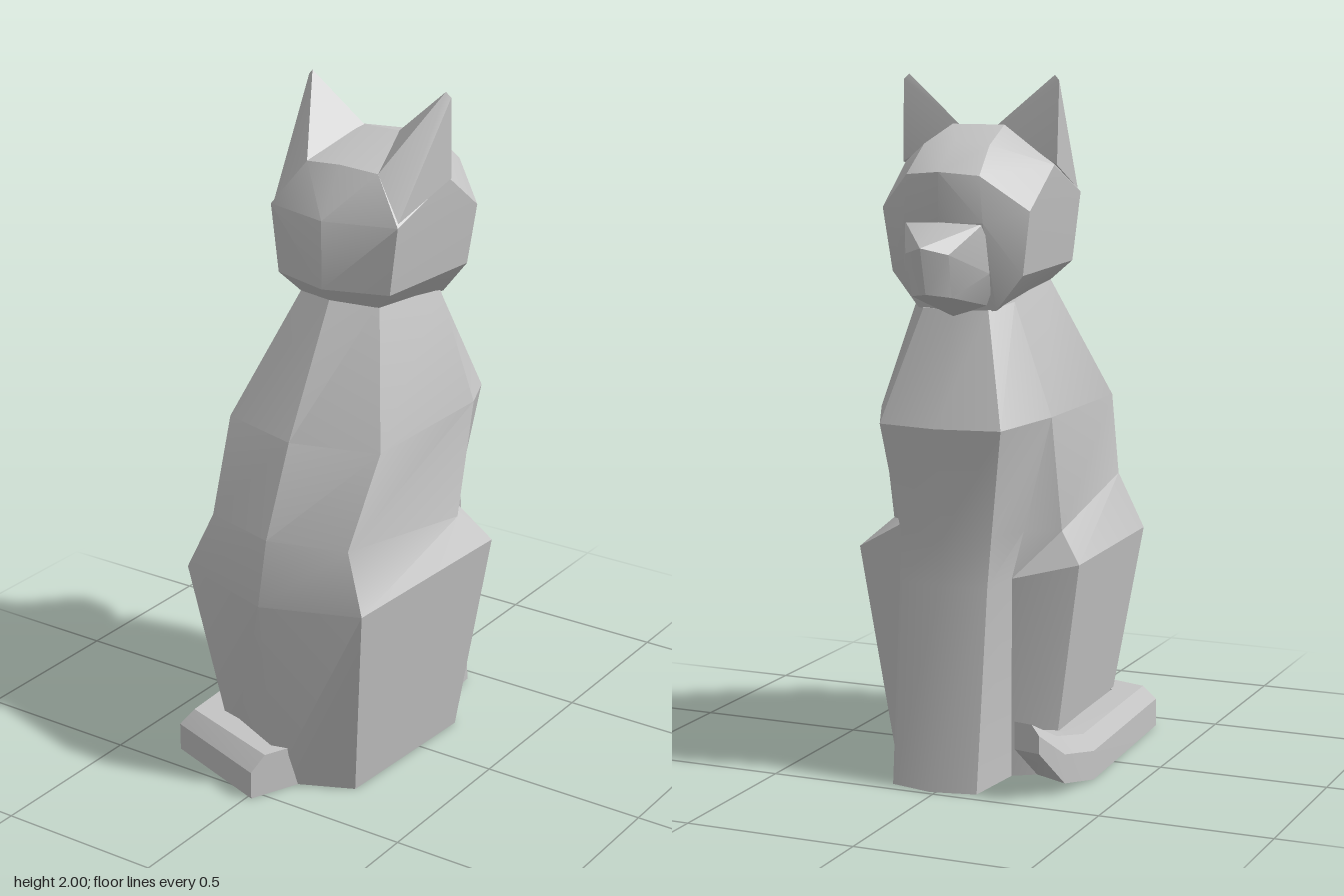
import * as THREE from 'three';
import { toCreasedNormals } from 'three/addons/utils/BufferGeometryUtils.js';
import { ConvexGeometry } from 'three/addons/geometries/ConvexGeometry.js';

const CREASE = 0.5;

// Skin a list of rings (equal point counts) and close both ends.
function loft(rings) {
  const pos = [];
  const tri = (...pts) => pts.forEach((p) => pos.push(...p));
  const n = rings[0].length;
  const centre = (ring) => [0, 1, 2].map((k) => ring.reduce((s, p) => s + p[k], 0) / n);
  const first = rings[0], last = rings[rings.length - 1];
  for (let j = 0; j < n; j++) {
    const k = (j + 1) % n;
    for (let i = 0; i < rings.length - 1; i++) {
      const [lo, hi] = [rings[i], rings[i + 1]];
      tri(lo[j], lo[k], hi[k]);
      tri(lo[j], hi[k], hi[j]);
    }
    tri(centre(first), first[k], first[j]);
    tri(centre(last), last[j], last[k]);
  }
  const g = new THREE.BufferGeometry();
  g.setAttribute('position', new THREE.Float32BufferAttribute(pos, 3));
  return toCreasedNormals(g, CREASE);
}

// Convex block from points, optionally mirrored across x.
function hull(points, mirror = true) {
  const all = points.map((p) => new THREE.Vector3(...p));
  if (mirror) points.forEach(([x, y, z]) => x && all.push(new THREE.Vector3(-x, y, z)));
  return toCreasedNormals(new ConvexGeometry(all), CREASE);
}

export function createModel() {
  const model = new THREE.Group();
  const grey = new THREE.MeshStandardMaterial({ color: 0xc4c4c4 });
  grey.name = 'stone grey';
  const add = (name, geometry, x = 0.015) => {
    const mesh = new THREE.Mesh(geometry, grey);
    mesh.name = name;
    mesh.position.x = x;
    model.add(mesh);
  };

  // Body half rings: spine, rear side, haunch front, leg, chest side, chest centre
  const half = [
    [[0, 0, 0.42], [0.22, 0, 0.32], [0.25, 0, -0.185], [0.15, 0, -0.25], [0.13, 0, -0.455], [0, 0, -0.485]],
    [[0, 0.6, 0.488], [0.305, 0.62, 0.415], [0.345, 0.63, -0.222], [0.15, 0.58, -0.25], [0.135, 0.58, -0.39], [0, 0.58, -0.412]],
    [[0, 0.79, 0.445], [0.235, 0.79, 0.38], [0.265, 0.71, -0.155], [0.185, 0.72, -0.245], [0.14, 0.72, -0.373], [0, 0.72, -0.395]],
    [[0, 1.05, 0.33], [0.26, 1.05, 0.255], [0.265, 1.05, -0.235], [0.265, 1.05, -0.235], [0.185, 1.03, -0.412], [0, 1.03, -0.445]],
    [[0, 1.42, 0.125], [0.13, 1.42, 0.065], [0.15, 1.37, -0.23], [0.15, 1.37, -0.23], [0.1, 1.35, -0.3], [0, 1.35, -0.31]],
  ];
  const mirrored = (h) => h.concat(h.slice(1, -1).reverse().map(([x, y, z]) => [-x, y, z]));
  add('body', loft(half.map(mirrored)));

  // Head
  add('head', hull([
    [0, 1.86, -0.14], [0.08, 1.86, -0.14], [0, 1.82, -0.3], [0.1, 1.81, -0.29],
    [0, 1.74, -0.415], [0.11, 1.73, -0.385], [0, 1.6, -0.415], [0.12, 1.6, -0.385],
    [0.225, 1.63, -0.3], [0.2, 1.45, -0.29], [0.23, 1.75, -0.135],
    [0.215, 1.66, 0.105], [0.19, 1.46, 0.105], [0, 1.66, 0.165], [0, 1.46, 0.165],
    [0, 1.8, 0.07], [0.12, 1.79, 0.06],
    [0.13, 1.4, 0.07], [0, 1.41, 0.12], [0.12, 1.35, -0.29], [0, 1.33, -0.31],
  ]));

  // Muzzle
  add('muzzle', hull([
    [0, 1.54, -0.535], [0.065, 1.52, -0.49], [0, 1.41, -0.5], [0.06, 1.4, -0.46],
    [0, 1.61, -0.4], [0.12, 1.6, -0.375], [0.13, 1.46, -0.36], [0.1, 1.36, -0.28], [0, 1.33, -0.31],
  ]));

  // Ears
  for (const [name, s] of [['leftEar', 1], ['rightEar', -1]]) {
    const ear = [[0.06, 1.86, -0.14], [0.225, 2, -0.12], [0.24, 1.985, -0.125], [0.238, 1.75, -0.135],
      [0.12, 1.79, 0.06], [0.21, 1.67, 0.095]];
    add(name, hull(ear.map(([x, y, z]) => [x * s, y, z]), false));
  }

  // Tail stations: outer x, outer z, inner x, inner z, base y, height
  const tail = [
    [0.015, 0.535, 0.08, 0.39, 0, 0.13],
    [-0.335, 0.415, -0.23, 0.31, 0, 0.13],
    [-0.365, -0.19, -0.25, -0.18, 0, 0.13],
    [-0.34, -0.35, -0.235, -0.3, 0.03, 0.13],
    [-0.305, -0.457, -0.225, -0.44, 0.14, 0.08],
  ].map(([ox, oz, ix, iz, y, h]) => [
    [ox, y, oz], [ox, y + h * 0.65, oz],
    [ox + (ix - ox) * 0.3, y + h, oz + (iz - oz) * 0.3],
    [ix, y + h, iz], [ix, y, iz],
  ]);
  add('tail', loft(tail), 0);

  return model;
}
